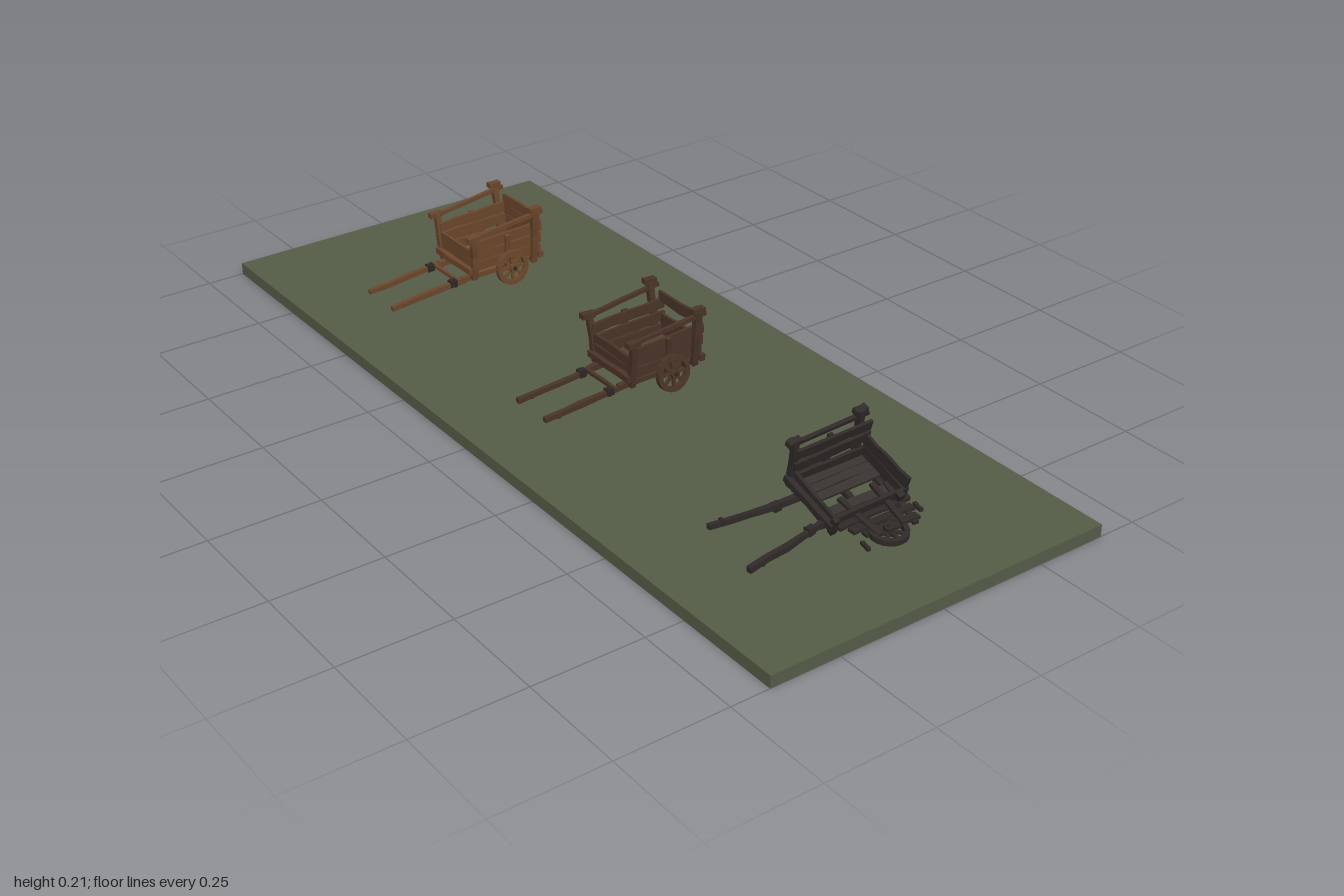
import * as THREE from 'three';

const GROUND = 0.028;
let seed = 7;
const rnd = () => { seed = (seed * 16807) % 2147483647; return seed / 2147483647 - 0.5; };
const V = (x, y, z) => new THREE.Vector3(x, y, z);

export function createModel() {
  const root = new THREE.Group();

  const add = (parent, name, geo, mat) => {
    const m = new THREE.Mesh(geo, mat);
    m.name = name;
    parent.add(m);
    return m;
  };

  // hewn beam between two points, with slightly uneven sections
  const beam = (parent, name, a, b, w, h, mat, rough = 0.15) => {
    const len = a.distanceTo(b);
    const geo = new THREE.BoxGeometry(w, h, len, 1, 1, 4);
    const p = geo.attributes.position;
    const off = Array.from({ length: 5 }, () => [rnd() * w * rough, rnd() * h * rough, 1 + rnd() * rough]);
    for (let i = 0; i < p.count; i++) {
      const o = off[Math.round((p.getZ(i) / len + 0.5) * 4)];
      p.setXY(i, p.getX(i) * o[2] + o[0], p.getY(i) * o[2] + o[1]);
    }
    geo.computeVertexNormals();
    const m = add(parent, name, geo, mat);
    m.position.copy(a).lerp(b, 0.5);
    const up = Math.abs(b.y - a.y) > 0.9 * len ? V(0, 0, 1) : V(0, 1, 0);
    m.quaternion.setFromRotationMatrix(new THREE.Matrix4().lookAt(b, a, up));
    return m;
  };

  // spoked wheel whose axle runs along x
  const wheel = (parent, name, mat, iron) => {
    const g = new THREE.Group();
    g.name = name;
    const R = 0.042;
    const ring = new THREE.Shape().absarc(0, 0, R, 0, Math.PI * 2);
    ring.holes.push(new THREE.Path().absarc(0, 0, R * 0.74, 0, Math.PI * 2, true));
    const rim = add(g, 'rim', new THREE.ExtrudeGeometry(ring,
      { depth: 0.012, bevelEnabled: false, curveSegments: 10 }).translate(0, 0, -0.006), mat);
    rim.rotation.y = Math.PI / 2;
    const hub = add(g, 'hub', new THREE.CylinderGeometry(0.009, 0.011, 0.024, 8), mat);
    hub.rotation.z = Math.PI / 2;
    const cap = add(g, 'hubCap', new THREE.CylinderGeometry(0.005, 0.005, 0.028, 8), iron);
    cap.rotation.z = Math.PI / 2;
    for (let i = 0; i < 8; i++) {
      const t = i / 8 * Math.PI * 2, c = Math.cos(t), s = Math.sin(t);
      beam(g, 'spoke', V(0, c * 0.008, s * 0.008), V(0, c * 0.034, s * 0.034), 0.006, 0.007, mat);
    }
    parent.add(g);
    return g;
  };

  // half width of the flared body at a given height
  const half = y => 0.062 + (y - 0.065) * 0.13;

  // wear: 0 sound, 1 weathered, 2 collapsed
  const cart = (name, x, color, inner, wear) => {
    const mat = new THREE.MeshStandardMaterial({ color, flatShading: true });
    const light = new THREE.MeshStandardMaterial({ color: inner, flatShading: true });
    const iron = new THREE.MeshStandardMaterial({ color: 0x2b2826, flatShading: true });
    const g = new THREE.Group();
    g.name = name;
    g.position.x = x;
    root.add(g);
    const body = new THREE.Group();
    body.name = 'body';
    g.add(body);
    const j = () => rnd() * 0.007 * wear;
    const broken = wear === 2;

    // floor boards
    for (let i = 0; i < 6; i++) {
      const bx = (i - 2.5) * 0.021;
      if (wear && i === 3) continue;
      beam(body, 'floorBoard', V(bx, 0.068, 0.04 + j()), V(bx, 0.068, -0.148 + j()), 0.02, 0.006, light);
    }
    // cross beams below and front sill
    for (const z of [0.025, -0.055, -0.135])
      beam(body, 'crossBeam', V(-0.066, 0.06, z), V(0.066, 0.06, z), 0.012, 0.012, mat);
    beam(body, 'frontSill', V(-0.075, 0.078, 0.045), V(0.075, 0.078, 0.045), 0.014, 0.014, mat);
    beam(body, 'rearSill', V(-0.075, 0.07, -0.148), V(0.075, 0.07, -0.148), 0.012, 0.014, mat);

    for (const s of [-1, 1]) {
      const fallen = broken && s === 1;
      // side planks
      for (let i = 0; i < 3; i++) {
        const y = 0.084 + i * 0.026;
        if (fallen && i > 0) continue;
        beam(body, 'sidePlank', V(s * half(y), y + j(), 0.04), V(s * half(y), y + 0.004 * i + j(), -0.15),
          0.007, 0.024, mat);
      }
      // corner posts and top rail
      const ft = fallen ? 0.1 : 0.172, bt = fallen ? 0.1 : broken ? 0.185 : 0.202;
      beam(body, 'frontPost', V(s * 0.067, 0.055, 0.035), V(s * (half(ft) + 0.006), ft, 0.042), 0.013, 0.013, mat);
      beam(body, 'rearPost', V(s * 0.067, 0.055, -0.13), V(s * (half(bt) + 0.007), bt, -0.122), 0.014, 0.014, mat);
      if (!fallen) {
        beam(body, 'topRail', V(s * 0.08, 0.163, 0.055), V(s * 0.085, bt - 0.014 + j(), -0.145), 0.009, 0.009, mat);
        beam(body, 'frontPostCap', V(s * 0.083, 0.166, 0.028), V(s * 0.083, 0.166, 0.06), 0.016, 0.012, mat);
        beam(body, 'rearPostCap', V(s * 0.087, bt - 0.004, -0.138), V(s * 0.087, bt - 0.004, -0.108), 0.016, 0.012, mat);
        beam(body, 'sideStake', V(s * 0.07, 0.06, -0.055), V(s * 0.082, 0.15, -0.052), 0.007, 0.012, mat);
      }
    }

    // tall rear panel and low front panel
    for (let i = 0; i < (broken ? 2 : 4); i++) {
      const y = 0.086 + i * 0.026;
      if (wear === 1 && i === 2) continue;
      const w = half(y);
      beam(body, 'rearPlank', V(-w, y + j(), -0.142), V(w, y + j(), -0.142), 0.007, 0.025, mat);
    }
    for (let i = 0; i < (broken ? 1 : 2); i++) {
      const y = 0.092 + i * 0.022;
      beam(body, 'frontPlank', V(-half(y), y + j(), 0.036), V(half(y), y + j(), 0.036), 0.007, 0.021, mat);
    }

    // pull shafts resting on the ground, each with a handle peg
    for (const s of [-1, 1]) {
      const skew = broken ? (s === 1 ? 0.02 : 0) : 0;
      const tipY = broken && s === -1 ? 0.066 : 0.036;
      const sx = s * 0.051;
      beam(g, 'shaft', V(sx, broken ? 0.05 : 0.06, -0.14), V(sx, 0.053, 0.06), 0.013, 0.013, mat);
      beam(g, 'shaft', V(sx, 0.053, 0.05), V(sx + skew, tipY, 0.248), 0.011, 0.012, mat, 0.3);
      beam(g, 'shaftBinding', V(sx + skew * 0.1, 0.052, 0.075), V(sx + skew * 0.1, 0.051, 0.092), 0.016, 0.016, iron);
      beam(g, 'handlePeg', V(sx + skew * 0.9 - 0.008, tipY + 0.002, 0.215),
        V(sx + skew * 0.9 + 0.008, tipY + 0.002, 0.215), 0.007, 0.009, mat);
    }

    if (!broken) {
      beam(g, 'shaftCrossbar', V(-0.056, 0.054, 0.07), V(0.056, 0.054, 0.07), 0.008, 0.008, mat);
      beam(g, 'axle', V(-0.1, 0.07, -0.055), V(0.1, 0.07, -0.055), 0.01, 0.01, mat);
      for (const s of [-1, 1]) {
        const w = wheel(g, s > 0 ? 'leftWheel' : 'rightWheel', mat, iron);
        w.position.set(s * 0.092, GROUND + 0.042, -0.055);
        w.rotation.z = s * 0.07 * (1 + wear);
      }
    } else {
      // body slumped towards its left
      body.position.set(-0.02, 0.0, 0);
      body.rotation.z = -0.3;
      // wheels: one leaning, one flat on the ground
      const a = wheel(g, 'leaningWheel', mat, iron);
      a.position.set(-0.115, 0.06, -0.06);
      a.rotation.z = -0.85;
      const b = wheel(g, 'fallenWheel', mat, iron);
      b.position.set(0.125, 0.037, -0.052);
      b.rotation.z = Math.PI / 2 - 0.08;
      beam(g, 'brokenAxle', V(-0.09, 0.075, -0.058), V(0.07, 0.037, -0.05), 0.01, 0.01, mat);
      // fallen side planks and scattered boards
      for (let i = 0; i < 3; i++)
        beam(g, 'fallenPlank', V(0.075 + i * 0.017, 0.05 - i * 0.006, 0.035 - i * 0.02),
          V(0.07 + i * 0.024, 0.05 - i * 0.006, -0.15 + i * 0.008), 0.018, 0.007, mat);
      for (const [z, y, d] of [[-0.1, 0.058, 0.01], [-0.015, 0.055, -0.012], [-0.135, 0.048, 0.015]])
        beam(g, 'fallenSlat', V(0.02, y + 0.015, z), V(0.13, y - 0.016, z + d), 0.012, 0.008, mat);
      for (const [px, pz] of [[0.09, -0.165], [0.135, 0.01], [-0.07, -0.155]])
        beam(g, 'splinter', V(px - 0.015, 0.032, pz), V(px + 0.015, 0.034, pz + 0.008), 0.008, 0.007, mat);
    }
  };

  // grassy base slab
  const slab = add(root, 'groundSlab', new THREE.BoxGeometry(2, GROUND, 0.824),
    new THREE.MeshStandardMaterial({ color: 0x555d48 }));
  slab.position.y = GROUND / 2;

  cart('soundCart', -0.626, 0x6b472c, 0x8a5c38, 0);
  cart('weatheredCart', 0.0, 0x4a3428, 0x57402f, 1);
  cart('collapsedCart', 0.66, 0x302a28, 0x383230, 2);
  return root;
}
